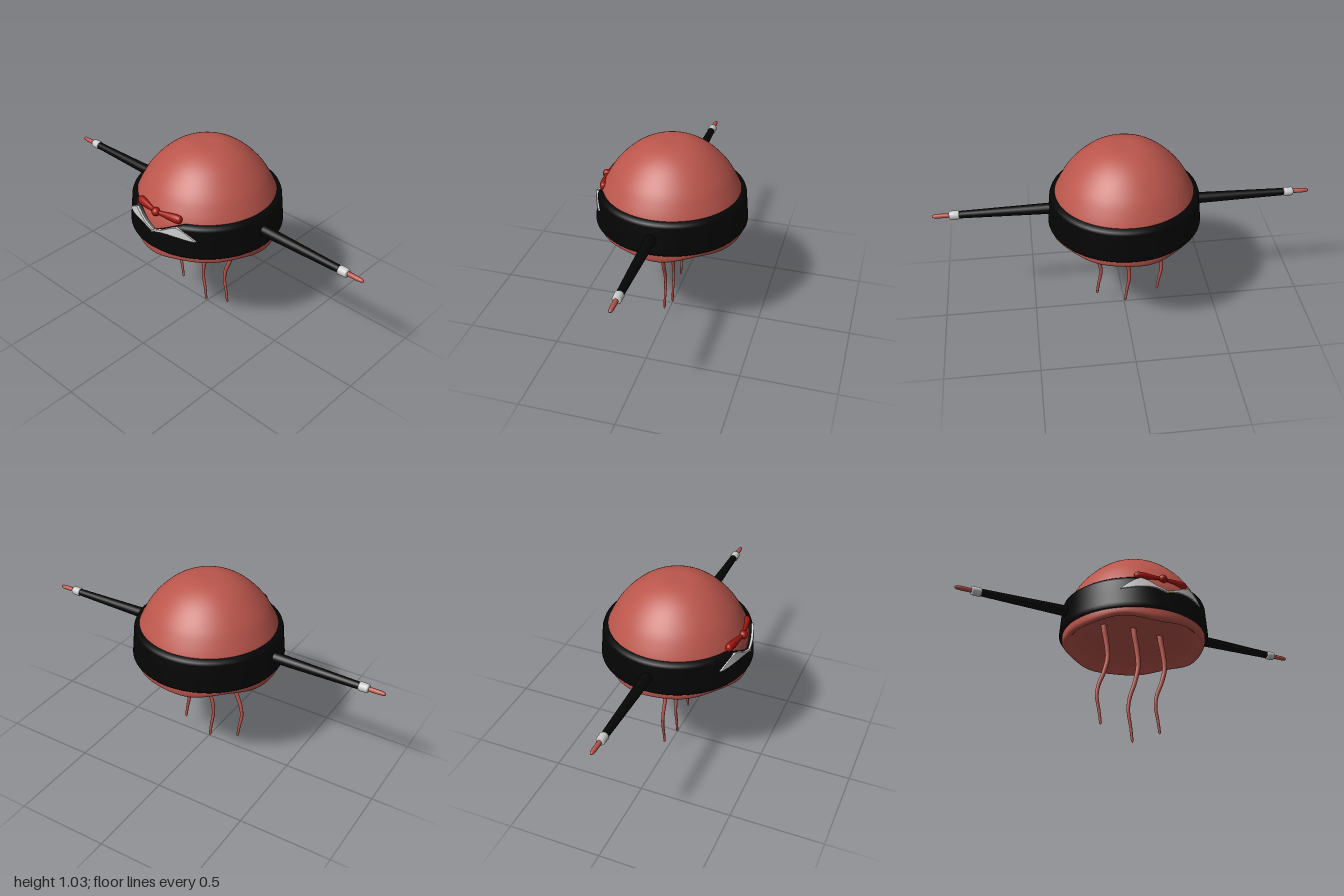
import * as THREE from 'three';

const mat = (color) => new THREE.MeshStandardMaterial({ color });
const skin = mat(0xbb564c), black = mat(0x050505), white = mat(0xe6e6e6), red = mat(0xa0160c), gold = mat(0xc8962a);

const v2 = (pts) => pts.map(([x, y]) => new THREE.Vector2(x, y));

function add(parent, name, geometry, material) {
  const mesh = new THREE.Mesh(geometry, material);
  mesh.name = name;
  parent.add(mesh);
  return mesh;
}

// Calls rule(v) on every vertex
function shapeVertices(geometry, rule) {
  const p = geometry.attributes.position, v = new THREE.Vector3();
  for (let i = 0; i < p.count; i++) {
    v.fromBufferAttribute(p, i);
    rule(v, i);
    p.setXYZ(i, v.x, v.y, v.z);
  }
  return geometry;
}

// Linear interpolation through [x, y] pairs
function along(table, x) {
  for (let i = 1; i < table.length; i++) {
    const [x0, y0] = table[i - 1], [x1, y1] = table[i];
    if (x <= x1) return THREE.MathUtils.lerp(y0, y1, (x - x0) / (x1 - x0));
  }
  return table[table.length - 1][1];
}

// Bell: arched underside, rolled rim and dome in one profile, with a wavy rim
function bellGeometry() {
  const curve = new THREE.SplineCurve(v2([
    [0, 0.655], [0.1, 0.651], [0.19, 0.637], [0.265, 0.614], [0.32, 0.585], [0.35, 0.556],
    [0.367, 0.541], [0.384, 0.555], [0.386, 0.6], [0.382, 0.66], [0.376, 0.72], [0.363, 0.765],
    [0.336, 0.82], [0.302, 0.875], [0.252, 0.932], [0.195, 0.98], [0.132, 1.014], [0.07, 1.03], [0, 1.031]]));
  const points = curve.getPoints(72);
  points[0].x = points[72].x = 0;
  return shapeVertices(new THREE.LatheGeometry(points, 96), (v) => {
    const a = Math.atan2(v.x, v.z);
    const k = THREE.MathUtils.clamp((0.61 - v.y) / 0.06, 0, 1);
    v.y -= k * (0.008 * Math.cos(4 * a) + 0.005 * Math.cos(7 * a + 0.8));
  });
}

// Jacket band with a V-shaped opening at the front
function bandGeometry() {
  const profile = v2([[0.37, 0.588], [0.398, 0.586], [0.403, 0.593], [0.402, 0.61], [0.396, 0.68],
    [0.391, 0.742], [0.386, 0.756], [0.372, 0.767], [0.35, 0.766]]);
  const g = shapeVertices(new THREE.LatheGeometry(profile, 128), (v) => {
    const open = v.z > 0 ? Math.max(0, 1 - Math.abs(v.x) / 0.16) : 0;
    v.y -= open * 0.075 * (v.y - 0.588) / 0.18;
  });
  g.computeVertexNormals();
  return g;
}

// Collar wing lying flat on the band
function collarGeometry(side) {
  const top = [[0, 0.694], [0.06, 0.714], [0.11, 0.742], [0.138, 0.752], [0.165, 0.742], [0.2, 0.718], [0.23, 0.692]];
  const bottom = [[0, 0.685], [0.06, 0.7], [0.1, 0.703], [0.15, 0.7], [0.23, 0.688]];
  const g = shapeVertices(new THREE.BoxGeometry(1, 1, 1, 32, 4, 1), (v) => {
    const x = (side > 0 ? v.x + 0.5 : 0.5 - v.x) * 0.23;
    const y = THREE.MathUtils.lerp(along(bottom, x), along(top, x), v.y + 0.5);
    const r = (v.z > 0 ? 0.402 : 0.39) - (y - 0.69) * 0.1;
    v.set(side * x, y, Math.sqrt(r * r - x * x));
  });
  g.computeVertexNormals();
  return g;
}

// Wavy tube, slightly flat in depth, that tapers to a closed tip
function tentacleGeometry(x, tip) {
  const len = 0.55 - tip;
  const wave = [[0, 0.66], [0.008, 0.6], [0.018, 0.55], [0.028, 0.55 - len * 0.2], [0.008, 0.55 - len * 0.38],
    [-0.022, 0.55 - len * 0.55], [-0.03, 0.55 - len * 0.68], [-0.016, 0.55 - len * 0.85], [-0.006, tip]];
  const curve = new THREE.CatmullRomCurve3(wave.map(([dx, y]) => new THREE.Vector3(x + dx, y, 0)));
  const steps = 60, sides = 12, c = new THREE.Vector3();
  return shapeVertices(new THREE.TubeGeometry(curve, steps, 0.017, sides), (v, i) => {
    const t = Math.floor(i / (sides + 1)) / steps;
    curve.getPointAt(t, c);
    v.sub(c).multiplyScalar(t === 1 ? 0 : 1 - 0.58 * t).add(c);
    v.z *= 0.8;
  });
}

export function createModel() {
  const model = new THREE.Group();
  model.name = 'jellyfishInSuit';

  add(model, 'bell', bellGeometry(), skin);
  add(model, 'jacketBand', bandGeometry(), black);

  // Tentacles hang in a row from the underside of the bell
  [[-0.18, 0.07], [0, 0], [0.16, 0.07]].forEach(([x, tip], i) =>
    add(model, 'tentacle' + (i + 1), tentacleGeometry(x, tip), skin));

  // Arms: sleeve, cuff and hand, built along +y and laid sideways
  for (const side of [1, -1]) {
    const arm = new THREE.Group();
    arm.name = side > 0 ? 'leftArm' : 'rightArm';
    const sleeve = add(arm, 'sleeve', new THREE.CylinderGeometry(0.019, 0.03, 0.52, 24), black);
    sleeve.position.y = 0.62;
    add(arm, 'cuff', new THREE.LatheGeometry(v2([[0, 0.86], [0.02, 0.86], [0.024, 0.866],
      [0.023, 0.905], [0.019, 0.912], [0, 0.912]]), 24), white);
    add(arm, 'hand', new THREE.LatheGeometry(v2([[0.011, 0.89], [0.012, 0.93], [0.012, 0.965],
      [0.01, 0.988], [0.006, 0.997], [0, 1]]), 16), skin);
    arm.rotation.z = -side * Math.PI / 2;
    arm.position.y = 0.674;
    model.add(arm);

    add(model, side > 0 ? 'leftCollar' : 'rightCollar', collarGeometry(side), white);
  }

  // Bow tie: two flared, blunt loops swept back along the dome, and a round knot
  const bow = new THREE.Group();
  bow.name = 'bowTie';
  const loop = new THREE.SplineCurve(v2([[0.01, 0], [0.012, 0.03], [0.018, 0.07],
    [0.023, 0.11], [0.022, 0.138], [0.014, 0.151], [0, 0.155]])).getPoints(24);
  for (const side of [1, -1]) {
    const pivot = new THREE.Group();
    pivot.rotation.y = side * 0.2;
    const mesh = add(pivot, side > 0 ? 'leftLoop' : 'rightLoop', new THREE.LatheGeometry(loop, 24), red);
    mesh.rotation.z = -side * Math.PI / 2;
    mesh.scale.z = 0.85;
    bow.add(pivot);
  }
  add(bow, 'knot', new THREE.SphereGeometry(0.023, 24, 16), red);
  bow.position.set(-0.008, 0.779, 0.363);
  model.add(bow);

  // Collar stud
  add(model, 'stud', new THREE.SphereGeometry(0.008, 16, 12), gold).position.set(0, 0.686, 0.4);

  return model;
}
